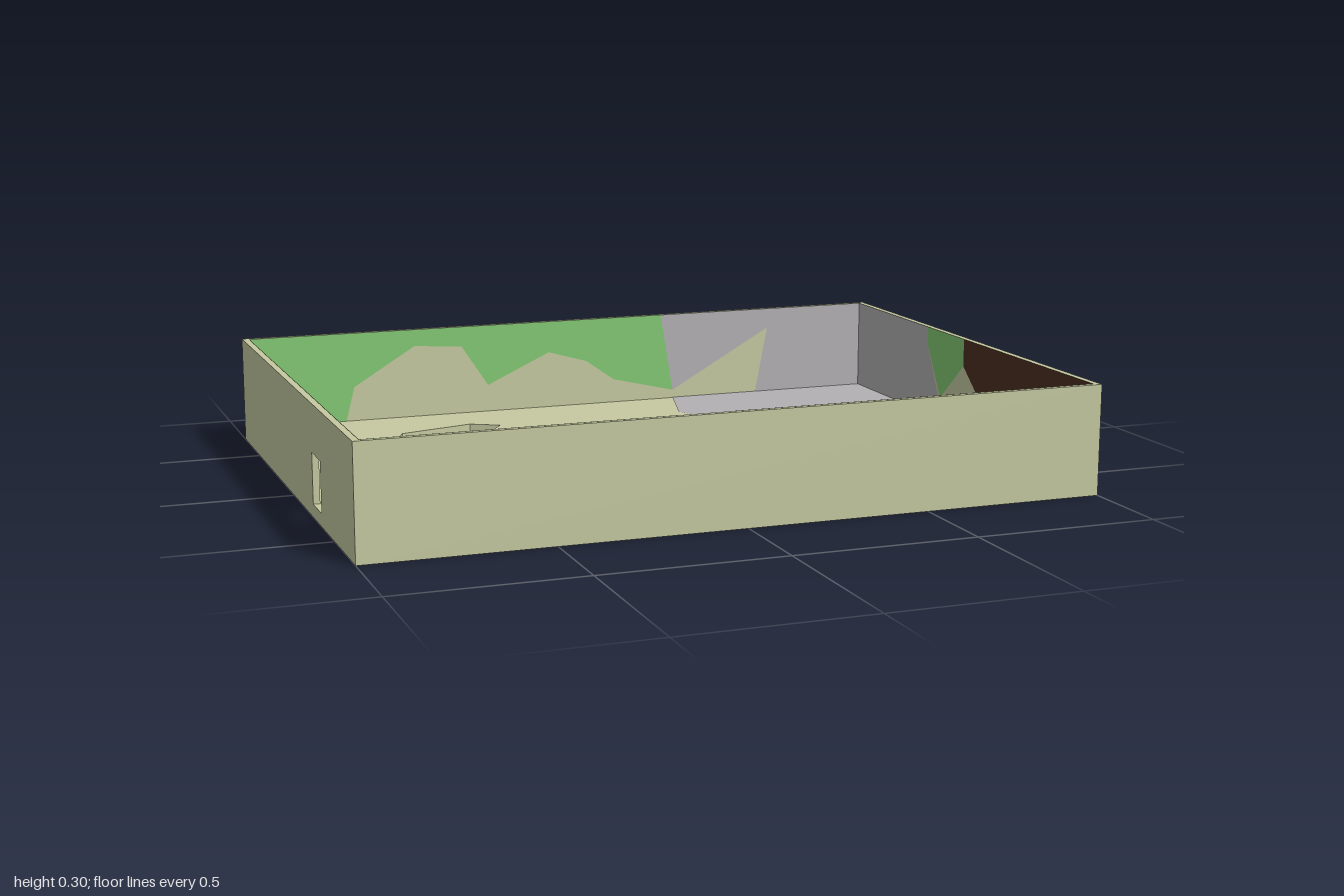
import * as THREE from 'three';

const W = 1, D = 0.73, H = 0.3;      // half width, half depth, height
const TX = 0.018, TZ = 0.015;        // wall thickness, sides and front/back
const FLOOR = 0.035;                 // floor thickness
const IX = W - TX, IZ = D - TZ;      // inner half sizes
const LIFT = 0.0012;                 // paint sits just off the surface

const plaster = new THREE.MeshStandardMaterial({ color: 0xc5c9a0 });
const paint = (color) => new THREE.MeshStandardMaterial({ color, side: THREE.DoubleSide });
const green = paint(0x82c872), grey = paint(0xb2b0b2), brown = paint(0x4d2f20), maroon = paint(0x43262a);

const shapeOf = (pts) => new THREE.Shape(pts.map(([a, b]) => new THREE.Vector2(a, b)));

export function createModel() {
  const group = new THREE.Group();
  const add = (name, geometry, material = plaster) => {
    const mesh = new THREE.Mesh(geometry, material);
    mesh.name = name;
    group.add(mesh);
    return mesh;
  };
  // Flat painted patch: each outline point (a, b) is placed in space by a rule
  const patch = (name, material, place, pts) => {
    const g = new THREE.ShapeGeometry(shapeOf(pts));
    const p = g.attributes.position;
    for (let i = 0; i < p.count; i++) p.setXYZ(i, ...place(p.getX(i), p.getY(i)));
    g.computeVertexNormals();
    add(name, g, material);
  };
  const onFloor = (x, z) => [x, FLOOR + LIFT, z];
  const onBack = (x, y) => [x, y, -IZ + LIFT];
  const onFront = (x, y) => [x, y, IZ - LIFT];
  const onSide = (s) => (z, y) => [s * (IX - LIFT), y, z];

  // Floor with a broken hole through it
  const floorShape = shapeOf([[-IX, -IZ], [IX, -IZ], [IX, IZ], [-IX, IZ]]);
  floorShape.holes.push(shapeOf([
    [-0.585, -0.49], [-0.365, -0.55], [-0.285, -0.505], [-0.355, -0.4],
    [-0.41, -0.42], [-0.5, -0.36], [-0.6, -0.455],
  ]));
  const floor = new THREE.ExtrudeGeometry(floorShape, { depth: FLOOR, bevelEnabled: false });
  floor.rotateX(Math.PI / 2).translate(0, FLOOR, 0);
  add('floor', floor);

  // Front, back and closed side wall
  for (const [name, s] of [['frontWall', 1], ['backWall', -1]])
    add(name, new THREE.BoxGeometry(2 * IX, H, TZ)).position.set(0, H / 2, s * (D - TZ / 2));
  add('sideWall', new THREE.BoxGeometry(TX, H, 2 * D)).position.set(W - TX / 2, H / 2, 0);

  // Side wall with a small doorway
  const wallShape = shapeOf([[-D, 0], [D, 0], [D, H], [-D, H]]);
  wallShape.holes.push(shapeOf([[0.25, FLOOR], [0.25, 0.17], [0.35, 0.17], [0.35, FLOOR]]));
  const wall = new THREE.ExtrudeGeometry(wallShape, { depth: TX, bevelEnabled: false });
  wall.rotateY(-Math.PI / 2).translate(-IX, 0, 0);
  add('doorWall', wall);

  // Floor patches
  patch('floorDarkPatch', maroon, onFloor, [
    [-0.02, 0], [0.015, -0.027], [0.27, -0.06], [0.32, -0.02], [0.37, 0.193], [0.64, 0.096],
    [0.64, 0.05], [0.95, 0.24], [IX, 0.225], [IX, IZ], [0.03, IZ], [-0.03, 0.595],
    [0.027, 0.51], [0.037, 0.37], [0.096, 0.294], [-0.022, 0.06],
  ]);
  patch('floorGreyPatch', grey, onFloor, [
    [0.34, -IZ], [IX, -IZ], [IX, -0.12], [0.905, -0.155], [0.905, -0.38], [0.84, -0.33],
    [0.715, -0.165], [0.53, -0.385], [0.35, -0.365], [0.28, -0.5],
  ]);

  // Back wall patches
  patch('backGreenPatch', green, onBack, [
    [-IX, H], [-IX, FLOOR], [-0.7, FLOOR], [-0.674, 0.137], [-0.488, 0.25], [-0.342, 0.24],
    [-0.26, 0.116], [-0.066, 0.205], [0.055, 0.17], [0.144, 0.107], [0.34, 0.06], [0.3, H],
  ]);
  patch('backGreyPatch', grey, onBack, [
    [0.3, H], [0.34, 0.06], [0.66, 0.24], [0.62, FLOOR], [IX, FLOOR], [IX, H],
  ]);

  // Front wall patches
  patch('frontBrownPatch', brown, onFront, [
    [IX, H], [-0.047, H], [0.09, 0.155], [0.042, FLOOR], [IX, FLOOR],
  ]);
  patch('frontGreenPatch', green, onFront, [
    [-0.185, H], [-0.21, 0.08], [-0.28, 0.24], [-0.46, 0.125], [-0.58, 0.136],
    [-0.78, 0.19], [-IX, 0.25], [-IX, H],
  ]);

  // Side wall patches
  patch('sideBrownPatch', brown, onSide(1), [
    [0, H], [IZ, H], [IZ, FLOOR], [0.23, FLOOR], [0, 0.22],
  ]);
  patch('sideGreenPatch', green, onSide(1), [
    [-0.23, H], [0, H], [0, 0.22], [-0.14, 0.1], [-0.23, 0.25],
  ]);
  patch('sideGreyPatch', grey, onSide(1), [
    [-IZ, H], [-0.23, H], [-0.23, 0.25], [-0.12, FLOOR], [-IZ, FLOOR],
  ]);
  patch('doorWallGreenPatch', green, onSide(-1), [
    [-IZ, H], [-0.555, 0.088], [-0.38, 0.06], [-0.233, 0.2], [-0.04, 0.18], [0.13, 0.19],
    [0.25, 0.26], [0.38, 0.2], [0.55, 0.26], [IZ, 0.22], [IZ, H],
  ]);

  return group;
}
